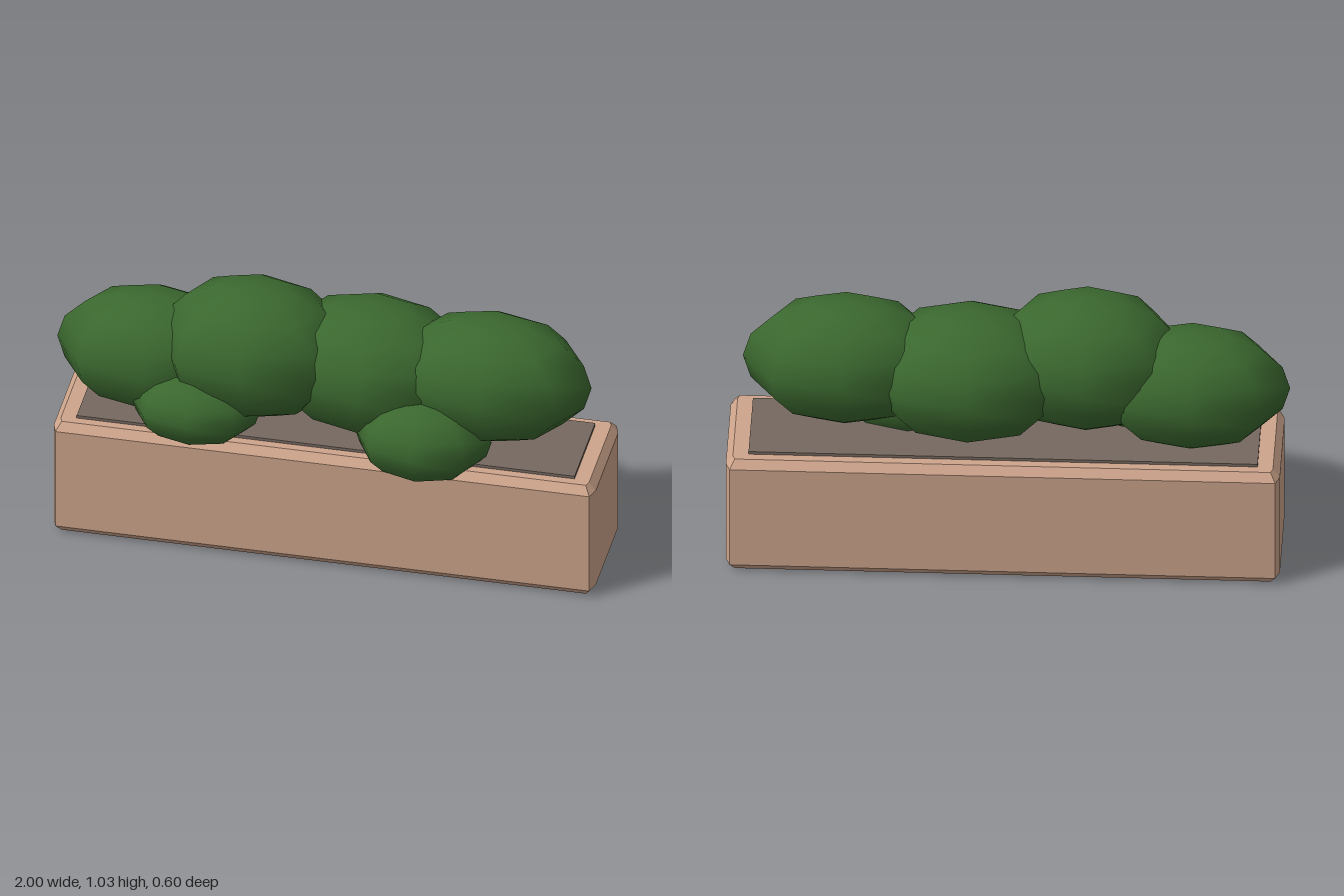
import * as THREE from 'three';

function material(name, color) {
  const m = new THREE.MeshStandardMaterial({ color });
  m.name = name;
  return m;
}

// Rectangle with cut corners, in the ground plane
function cutRectangle(hx, hz, cx, cz) {
  return new THREE.Shape([
    [hx - cx, -hz], [hx, -hz + cz], [hx, hz - cz], [hx - cx, hz],
    [-hx + cx, hz], [-hx, hz - cz], [-hx, -hz + cz], [-hx + cx, -hz],
  ].map(([x, y]) => new THREE.Vector2(x, y)));
}

export function createModel() {
  const group = new THREE.Group();
  group.name = 'planterWithHedge';
  const clay = material('clay', 0xcda48b);
  const earth = material('earth', 0x75685f);
  const leaf = material('leaf', 0x3b682f);

  // Trough with chamfered edges
  const bevel = 0.03;
  const troughGeometry = new THREE.ExtrudeGeometry(cutRectangle(0.985, 0.23, 0.015, 0.042), {
    depth: 0.465 - 2 * bevel, bevelEnabled: true, bevelSegments: 1,
    bevelThickness: bevel, bevelSize: 0.025, bevelOffset: -0.025,
  });
  troughGeometry.rotateX(-Math.PI / 2);
  const trough = new THREE.Mesh(troughGeometry, clay);
  trough.name = 'trough';
  trough.position.set(0.013, bevel, -0.035);
  group.add(trough);

  // Soil slab, standing slightly proud of the rim
  const soil = new THREE.Mesh(new THREE.BoxGeometry(1.81, 0.04, 0.345), earth);
  soil.name = 'soil';
  soil.position.set(0.013, 0.456, -0.034);
  group.add(soil);

  // Bush clumps: centre, then radii
  const clump = new THREE.SphereGeometry(1, 8, 8);
  const bush = new THREE.Group();
  bush.name = 'bush';
  [
    ['leftEndClump', [-0.65, 0.69, -0.035], [0.35, 0.23, 0.22]],
    ['tallClump', [-0.275, 0.773, 0], [0.355, 0.262, 0.252]],
    ['middleClump', [0.14, 0.73, -0.04], [0.37, 0.255, 0.26]],
    ['rightEndClump', [0.582, 0.758, -0.012], [0.365, 0.24, 0.228]],
    ['smallFrontClumpA', [-0.465, 0.57, 0.115], [0.235, 0.14, 0.16]],
    ['smallFrontClumpB', [0.36, 0.557, 0.11], [0.25, 0.163, 0.188]],
  ].forEach(([name, centre, radii]) => {
    const mesh = new THREE.Mesh(clump, leaf);
    mesh.name = name;
    mesh.position.set(...centre);
    mesh.scale.set(...radii);
    bush.add(mesh);
  });
  group.add(bush);

  return group;
}
